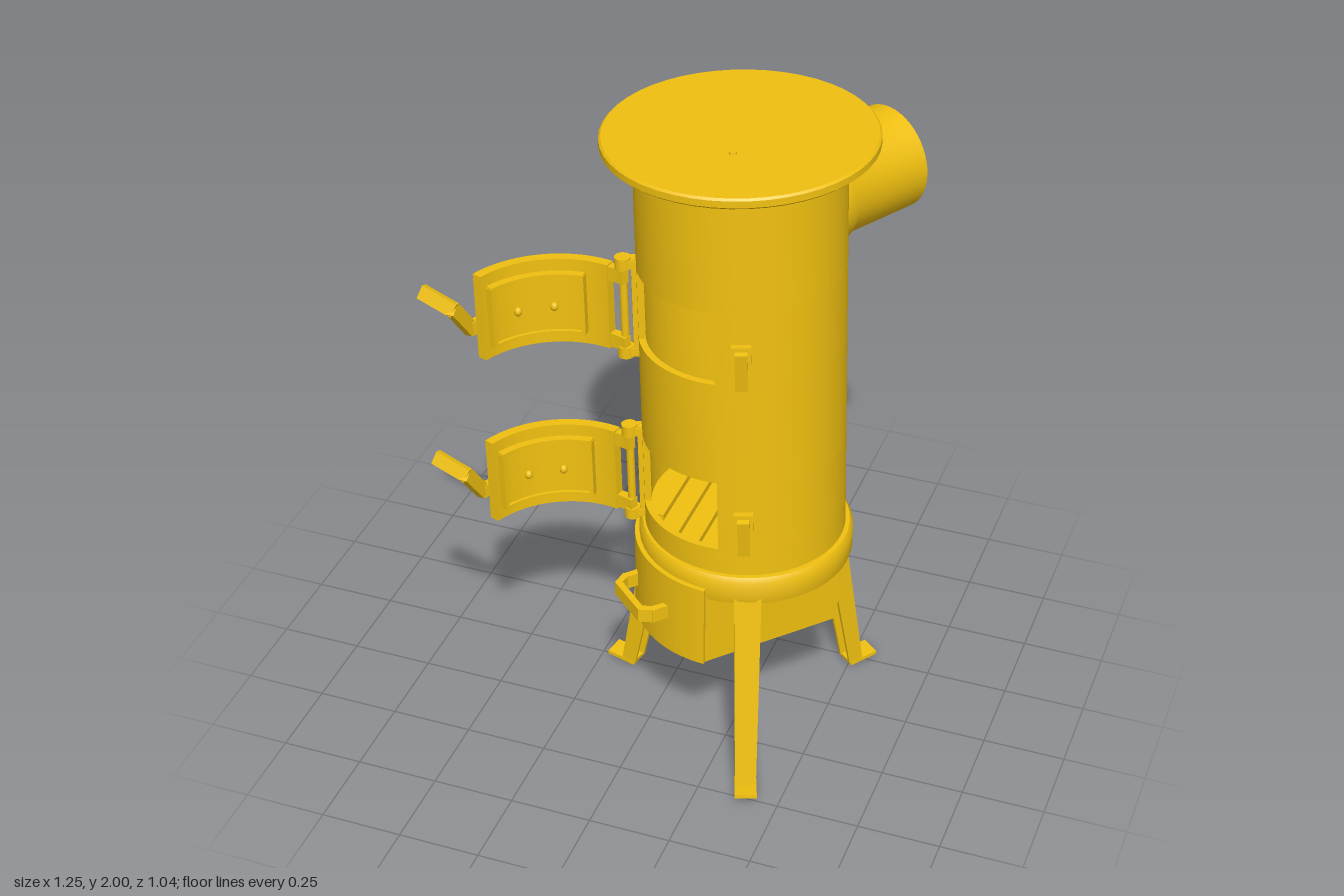
import * as THREE from 'three';
import { toCreasedNormals } from 'three/addons/utils/BufferGeometryUtils.js';

const mat = new THREE.MeshStandardMaterial({ color: 0xf0c010, side: THREE.DoubleSide });
const rad = THREE.MathUtils.degToRad;

function add(parent, name, geo, x = 0, y = 0, z = 0) {
  const mesh = new THREE.Mesh(geo, mat);
  mesh.name = name;
  mesh.position.set(x, y, z);
  parent.add(mesh);
  return mesh;
}

function group(parent, name, x = 0, y = 0, z = 0) {
  const g = new THREE.Group();
  g.name = name;
  g.position.set(x, y, z);
  parent.add(g);
  return g;
}

// Extrudes a plan shape (shape y = -z) upwards from y0 to y1
function upright(shape, y0, y1) {
  const geo = new THREE.ExtrudeGeometry(shape, { depth: y1 - y0, bevelEnabled: false, curveSegments: 40 });
  return toCreasedNormals(geo.rotateX(-Math.PI / 2).translate(0, y0, 0), 0.6);
}

// Curved wall between two radii; angles in degrees from +z towards +x
function arcWall(ri, ro, a0, a1, y0, y1) {
  const t0 = rad(a0 - 90), t1 = rad(a1 - 90);
  const s = new THREE.Shape();
  s.absarc(0, 0, ro, t0, t1, false);
  s.absarc(0, 0, ri, t1, t0, true);
  s.closePath();
  return upright(s, y0, y1);
}

function lathe(points) {
  const pts = points.map(([x, y]) => new THREE.Vector2(x, y));
  return toCreasedNormals(new THREE.LatheGeometry(pts, 48), 0.6);
}

// Flat bar between two points
function bar(parent, name, p, q, w, h) {
  const a = new THREE.Vector3(...p), b = new THREE.Vector3(...q);
  const m = add(parent, name, new THREE.BoxGeometry(w, h, a.distanceTo(b) + 0.012));
  m.position.copy(a).add(b).multiplyScalar(0.5);
  m.quaternion.setFromUnitVectors(new THREE.Vector3(0, 0, 1), b.sub(a).normalize());
}

// Open curved door with its hinge, lever and the catch on the body
function addDoor(body, name, y) {
  const unit = group(body, name, 0, y, 0);
  const door = group(unit, 'doorLeaf', -0.416, -0.027, 0.395);
  add(door, 'doorPlate', arcWall(0.268, 0.298, 167, 250, -0.137, 0.137));
  add(door, 'innerPanel', arcWall(0.255, 0.27, 185, 243, -0.09, 0.09));
  for (const s of [-1, 1]) {
    add(door, 'panelRail', arcWall(0.245, 0.27, 182, 246, s * 0.093 - 0.006, s * 0.093 + 0.006));
    add(door, 'panelStile', arcWall(0.245, 0.27, 214 + s * 31 - 1.5, 214 + s * 31 + 1.5, -0.095, 0.095));
    add(door, 'hingeLug', arcWall(0.272, 0.298, 156, 170, s * 0.11 - 0.022, s * 0.11 + 0.022));
    // Small bolt heads on the inner panel
    const a = rad(214 + s * 12);
    const bolt = add(door, 'bolt', new THREE.SphereGeometry(0.012, 10, 8), 0.253 * Math.sin(a), -0.01, 0.253 * Math.cos(a));
    bolt.scale.y = 1.2;
  }

  // Hinge pin, knuckles and brackets
  const hinge = group(unit, 'hinge', -0.31, -0.02, 0.125);
  add(hinge, 'hingePin', new THREE.CylinderGeometry(0.012, 0.012, 0.32, 12));
  for (const s of [-1, 1]) {
    add(hinge, 'knuckle', new THREE.CylinderGeometry(0.024, 0.024, 0.035, 14), 0, s * 0.145, 0);
    bar(hinge, 'hingeBracket', [0, s * 0.143, 0], [0.05, s * 0.143, -0.015], 0.035, 0.026);
  }
  add(unit, 'hingeStrap', arcWall(0.29, 0.312, -71, -65, -0.17, 0.14));

  // Bent lever pivoting on the outside of the door
  const lever = group(unit, 'doorLever');
  const pts = [[-0.64, -0.05, 0.185], [-0.685, -0.07, 0.235], [-0.715, -0.07, 0.295], [-0.728, 0.03, 0.368], [-0.825, 0.062, 0.355]];
  for (let i = 1; i < pts.length; i++) bar(lever, 'leverBar', pts[i - 1], pts[i], 0.022, 0.042);
  const pivot = add(lever, 'leverPivot', new THREE.CylinderGeometry(0.022, 0.022, 0.06, 14), -0.645, -0.052, 0.2);
  pivot.rotation.set(Math.PI / 2, 0, 0.7);

  // Catch beside the opening
  const a = rad(18.5);
  const latch = group(unit, 'catch', 0.305 * Math.sin(a), -0.06, 0.305 * Math.cos(a));
  latch.rotation.y = a;
  add(latch, 'catchPlate', new THREE.BoxGeometry(0.055, 0.16, 0.022));
  bar(latch, 'catchHook', [0, -0.05, 0.008], [0, 0.065, 0.026], 0.036, 0.018);
}

export function createModel() {
  const model = new THREE.Group();
  model.name = 'stove';

  // Slightly leaning drum and everything fixed to it
  const body = group(model, 'body', 0.26, 0, 0.07);
  body.rotation.set(-0.01, 0, 0.03);
  const ri = 0.278, ro = 0.298;
  const gaps = [[0.79, 1.02], [1.35, 1.58]];
  let y = 0.69;
  for (const [g0, g1] of [...gaps, [1.96, 1.96]]) {
    const ring = new THREE.Shape().absarc(0, 0, ro, 0, Math.PI * 2, false);
    ring.holes.push(new THREE.Path().absarc(0, 0, ri, 0, Math.PI * 2, true));
    add(body, 'drumBand', upright(ring, y, g0));
    if (g1 > g0) add(body, 'drumWallBesideOpening', arcWall(ri, ro, 4, 297, g0, g1));
    y = g1;
  }
  gaps.forEach(([g0, g1], i) => addDoor(body, i ? 'upperDoor' : 'lowerDoor', (g0 + g1) / 2));

  // Lid
  add(body, 'lid', lathe([[0, 1.953], [0.38, 1.953], [0.388, 1.96], [0.388, 1.98], [0.382, 1.986], [0, 1.986]]));
  add(body, 'lidScrew', new THREE.CylinderGeometry(0.01, 0.012, 0.01, 10), 0.025, 1.988, 0.13);

  // Flue pipe
  const flue = lathe([[0.172, 0.24], [0.168, 0.285], [0.155, 0.31], [0.155, 0.568], [0.132, 0.568], [0.132, 0.24]]);
  const pipe = add(body, 'fluePipe', flue.rotateX(Math.PI / 2), 0, 1.71, 0);
  pipe.rotation.y = rad(150);

  // Base ring with recessed underside
  const base = group(model, 'base', 0.243, 0, 0.066);
  add(base, 'baseRing', lathe([[0, 0.665], [0.29, 0.665], [0.295, 0.622], [0.316, 0.622], [0.318, 0.63], [0.318, 0.695], [0.308, 0.71], [0, 0.715]]));
  add(base, 'grate', new THREE.CylinderGeometry(0.285, 0.285, 0.02, 40), 0, 0.75, 0);
  for (let i = -3; i <= 3; i++) {
    const x = i * 0.07;
    add(base, 'grateBar', new THREE.BoxGeometry(0.025, 0.025, 2 * Math.sqrt(0.075 - x * x)), x, 0.768, 0);
  }

  // Ash drawer with curved front
  const drawer = group(base, 'ashDrawer');
  drawer.rotation.y = rad(-42);
  const half = Math.asin(0.204 / 0.32);
  const plan = new THREE.Shape();
  plan.moveTo(0.204, 0.205);
  plan.lineTo(-0.204, 0.205);
  plan.absarc(0, 0, 0.32, -Math.PI / 2 - half, -Math.PI / 2 + half, false);
  plan.closePath();
  add(drawer, 'drawerBox', upright(plan, 0.39, 0.66));
  add(drawer, 'drawerFront', arcWall(0.305, 0.332, -39.5, 39.5, 0.39, 0.66));
  const grip = [[-0.09, 0.31], [-0.09, 0.36], [-0.07, 0.392], [0.07, 0.392], [0.09, 0.36], [0.09, 0.31]];
  for (let i = 1; i < grip.length; i++) {
    const [[x0, z0], [x1, z1]] = [grip[i - 1], grip[i]];
    bar(drawer, 'drawerHandle', [x0, 0.53, z0], [x1, 0.53, z1], 0.02, 0.045);
  }

  // Three splayed channel legs, tapering downwards
  const channel = new THREE.Shape([[-0.04, -0.035], [0.04, -0.035], [0.04, 0.035], [0.027, 0.035], [0.027, -0.02],
    [-0.027, -0.02], [-0.027, 0.035], [-0.04, 0.035]].map(([x, v]) => new THREE.Vector2(x, v)));
  const legGeo = upright(channel, 0.006, 0.67);
  const pos = legGeo.attributes.position;
  for (let i = 0; i < pos.count; i++) {
    const t = pos.getY(i) / 0.67;
    pos.setX(i, pos.getX(i) * (0.78 + 0.22 * t));
    pos.setZ(i, pos.getZ(i) * (0.68 + 0.32 * t) + 0.4 - 0.125 * t);
  }
  legGeo.computeVertexNormals();
  for (const a of [20, 140, 260]) {
    const leg = group(base, 'leg');
    leg.rotation.y = rad(a);
    add(leg, 'legChannel', legGeo);
    const foot = add(leg, 'foot', new THREE.BoxGeometry(0.066, 0.012, 0.095), 0, 0.012, 0.425);
    foot.rotation.x = -0.1;
  }
  return model;
}
